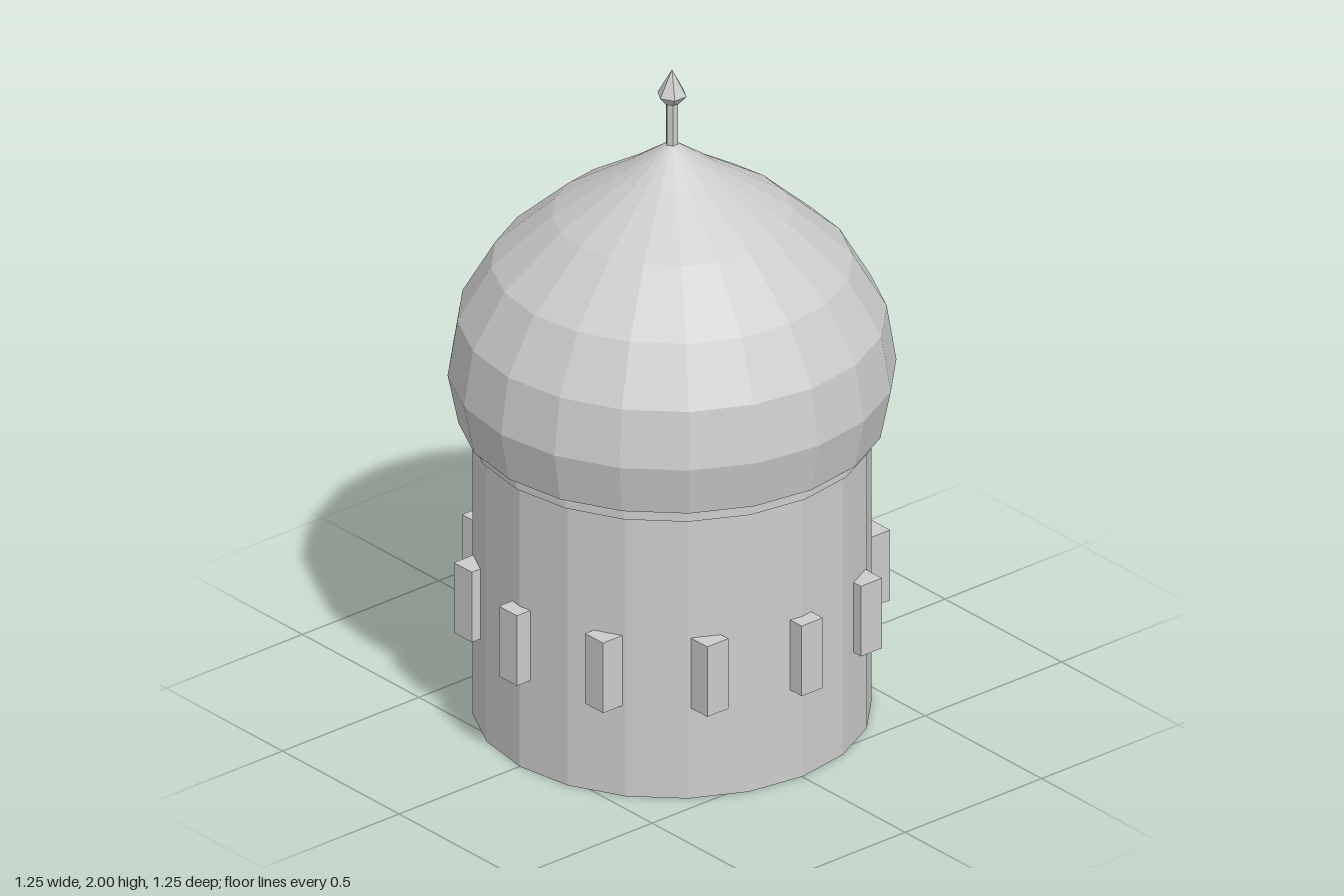
import * as THREE from 'three';

const SIDES = 20;

export function createModel() {
  const model = new THREE.Group();
  model.name = 'domedTower';
  const stone = new THREE.MeshStandardMaterial({ color: 0xcccccc, flatShading: true });
  stone.name = 'paleGrey';

  const add = (name, geometry, y = 0, parent = model) => {
    const mesh = new THREE.Mesh(geometry, stone);
    mesh.name = name;
    mesh.position.y = y;
    parent.add(mesh);
    return mesh;
  };
  const lathe = (points, sides) =>
    new THREE.LatheGeometry(points.map(([r, y]) => new THREE.Vector2(r, y)), sides);

  // Tower drum and the collar under the dome
  add('drum', new THREE.CylinderGeometry(0.558, 0.558, 0.9, SIDES), 0.45);
  add('collar', new THREE.CylinderGeometry(0.57, 0.57, 0.05, SIDES), 0.9);

  // Onion dome, closed underneath
  add('dome', lathe([
    [0, 0.915], [0.597, 0.915], [0.627, 1.065], [0.6, 1.235],
    [0.505, 1.4], [0.335, 1.555], [0.14, 1.68], [0, 1.78],
  ], SIDES));

  // Finial: thin post with a pointed six-sided tip
  const finial = new THREE.Group();
  finial.name = 'finial';
  finial.rotation.y = Math.PI / 2;
  model.add(finial);
  add('post', new THREE.CylinderGeometry(0.018, 0.018, 0.14, 6), 1.835, finial);
  add('tip', lathe([[0, 1.897], [0.022, 1.897], [0.043, 1.922], [0, 2]], 6), 0, finial);

  // Ring of twelve blocks, all square to the axes
  const blocks = new THREE.Group();
  blocks.name = 'blocks';
  model.add(blocks);
  const blockShape = new THREE.BoxGeometry(0.077, 0.22, 0.077);
  for (let i = 0; i < 12; i++) {
    const a = (i * Math.PI) / 6;
    const block = add('block', blockShape, 0.393, blocks);
    block.position.x = 0.563 * Math.sin(a);
    block.position.z = 0.563 * Math.cos(a);
  }
  return model;
}
